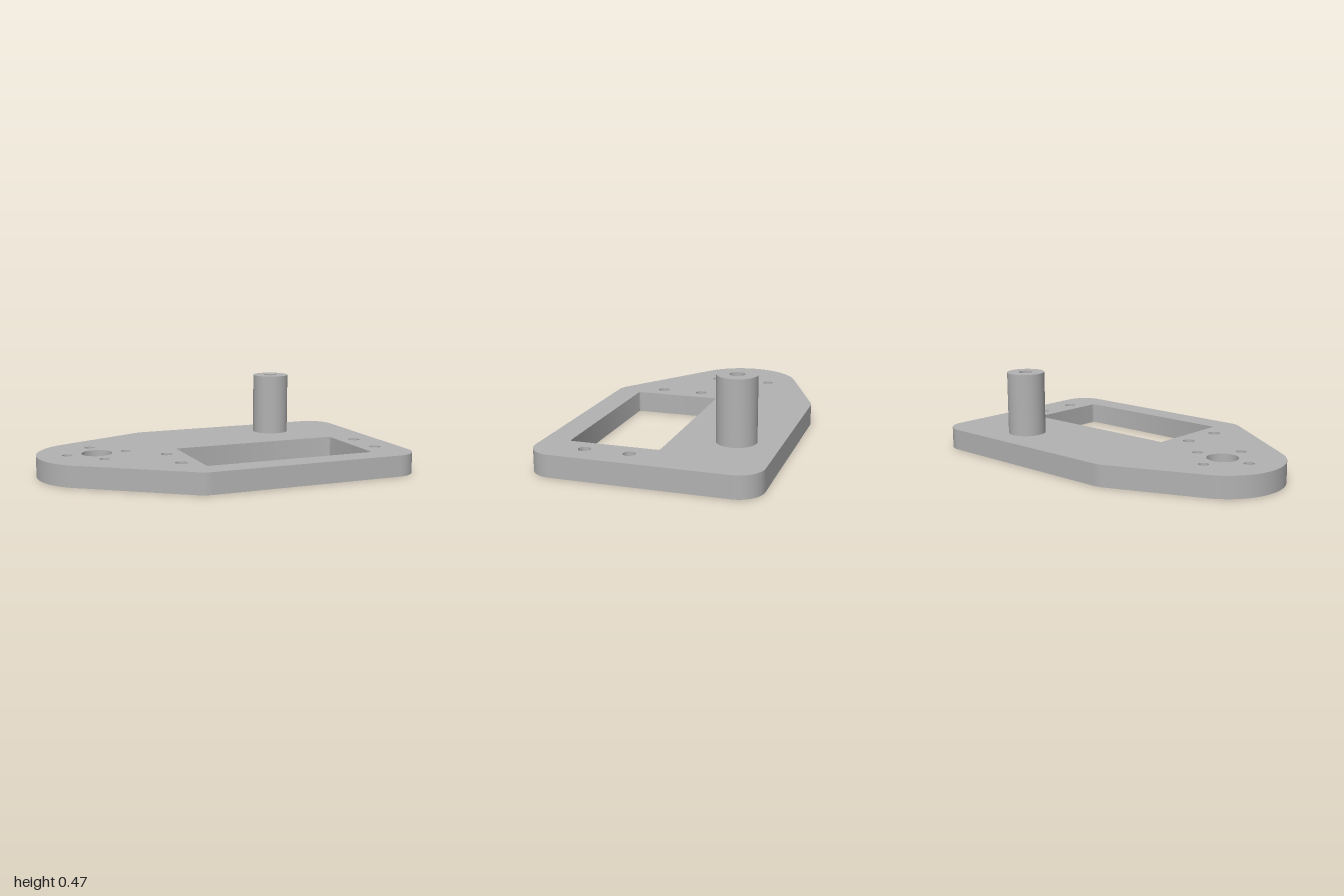
import * as THREE from 'three';
import { toCreasedNormals } from 'three/addons/utils/BufferGeometryUtils.js';

const PLATE_H = 0.119, TOP = 0.473;

// Outline wrapped tightly around a counter-clockwise ring of circles [x, z, radius]
function hullShape(circles) {
  const n = circles.length;
  const normals = circles.map(([x, y, r], i) => {
    const [x2, y2, r2] = circles[(i + 1) % n];
    const dx = x2 - x, dy = y2 - y;
    return Math.atan2(dy, dx) - Math.PI / 2 + Math.asin((r - r2) / Math.hypot(dx, dy));
  });
  const shape = new THREE.Shape();
  circles.forEach(([x, y, r], i) => shape.absarc(x, y, r, normals[(i + n - 1) % n], normals[i], false));
  shape.closePath();
  return shape;
}

// Rectangle with rounded corners
function roundedRect(x0, y0, x1, y1, r) {
  return hullShape([
    [x0 + r, y0 + r, r], [x1 - r, y0 + r, r], [x1 - r, y1 - r, r], [x0 + r, y1 - r, r],
  ]);
}

function circle(x, y, r) {
  return new THREE.Shape().absarc(x, y, r, 0, Math.PI * 2, false);
}

// Extrude a shape drawn in x/z upward from y0 to y1
function slab(name, shape, y0, y1, material) {
  const geo = new THREE.ExtrudeGeometry(shape, { depth: y1 - y0, bevelEnabled: false, curveSegments: 32 });
  geo.rotateX(Math.PI / 2).translate(0, y1, 0);
  const mesh = new THREE.Mesh(toCreasedNormals(geo, 0.6), material);
  mesh.name = name;
  return mesh;
}

export function createModel() {
  const group = new THREE.Group();
  group.name = 'mountingPlate';
  const grey = new THREE.MeshStandardMaterial({ color: 0xb2b2b2 });
  grey.name = 'grey';

  const nose = [-0.668, -0.075], post = [0.521, -0.361];

  // Plate outline: large round nose and four small rounded corners
  const R = 0.134, Z = 0.597 - R;
  const plate = hullShape([
    [...nose, 0.332], [-0.24, -Z, R], [1 - R, -Z, R], [1 - R, Z, R], [-0.24, Z, R],
  ]);

  // Rectangular window
  plate.holes.push(roundedRect(-0.217, -0.032, 0.767, 0.455, 0.015));

  // Shaft hole ringed by four small holes
  plate.holes.push(circle(...nose, 0.085));
  for (const [dx, dz] of [[1, 0], [-1, 0], [0, 1], [0, -1]])
    plate.holes.push(circle(nose[0] + dx * 0.166, nose[1] + dz * 0.166, 0.028));

  // Screw holes on both sides of the window
  for (const x of [-0.315, 0.864])
    for (const z of [0.091, 0.33]) plate.holes.push(circle(x, z, 0.033));

  // Bore under the post
  plate.holes.push(circle(...post, 0.04));
  group.add(slab('plate', plate, 0, PLATE_H, grey));

  // Hollow standoff post
  const ring = circle(...post, 0.106);
  ring.holes.push(circle(...post, 0.04));
  group.add(slab('post', ring, PLATE_H, TOP, grey));

  return group;
}
